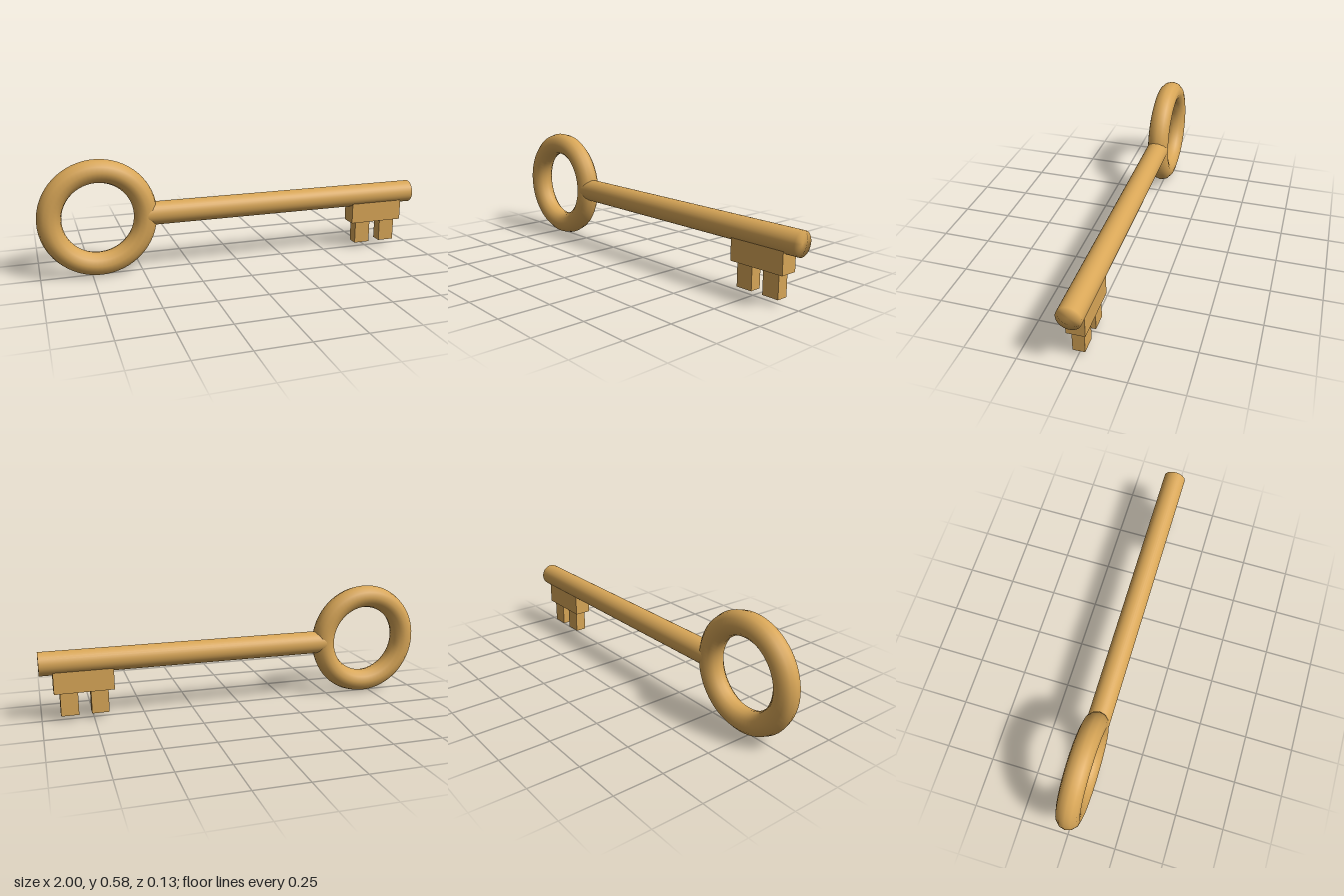
import * as THREE from 'three';
import { mergeVertices } from 'three/addons/utils/BufferGeometryUtils.js';

export function createModel() {
  const root = new THREE.Group();
  root.name = 'key';
  const brass = new THREE.MeshStandardMaterial({ color: 0xd8a657 });
  brass.name = 'brass';

  const axisY = 0.296, radius = 0.0585;

  const add = (name, geometry, x, y) => {
    const mesh = new THREE.Mesh(geometry, brass);
    mesh.name = name;
    mesh.position.set(x, y, 0);
    root.add(mesh);
    return mesh;
  };

  // Box given by its extents in x and y and its depth
  const block = (name, x0, x1, y0, y1, depth) =>
    add(name, new THREE.BoxGeometry(x1 - x0, y1 - y0, depth), (x0 + x1) / 2, (y0 + y1) / 2);

  // Ring handle
  add('bow', new THREE.TorusGeometry(0.2335, radius, 12, 64), -0.708, axisY);

  // Shaft, with normals smoothed over the end caps
  const start = -0.475, end = 1;
  let shaft = new THREE.CylinderGeometry(radius, radius, end - start, 32);
  shaft.deleteAttribute('normal');
  shaft.deleteAttribute('uv');
  shaft = mergeVertices(shaft);
  shaft.computeVertexNormals();
  shaft.rotateZ(-Math.PI / 2);
  add('shaft', shaft, (start + end) / 2, axisY);

  // Bit plate and its two teeth
  block('bit', 0.647, 0.937, 0.15, 0.265, 0.088);
  [[0.676, 0.761], [0.823, 0.909]].forEach(([x0, x1], i) =>
    block(`tooth${i + 1}`, x0, x1, 0.032, 0.15, 0.058));

  // Slight yaw of the whole key
  root.rotation.y = 0.005;
  return root;
}
